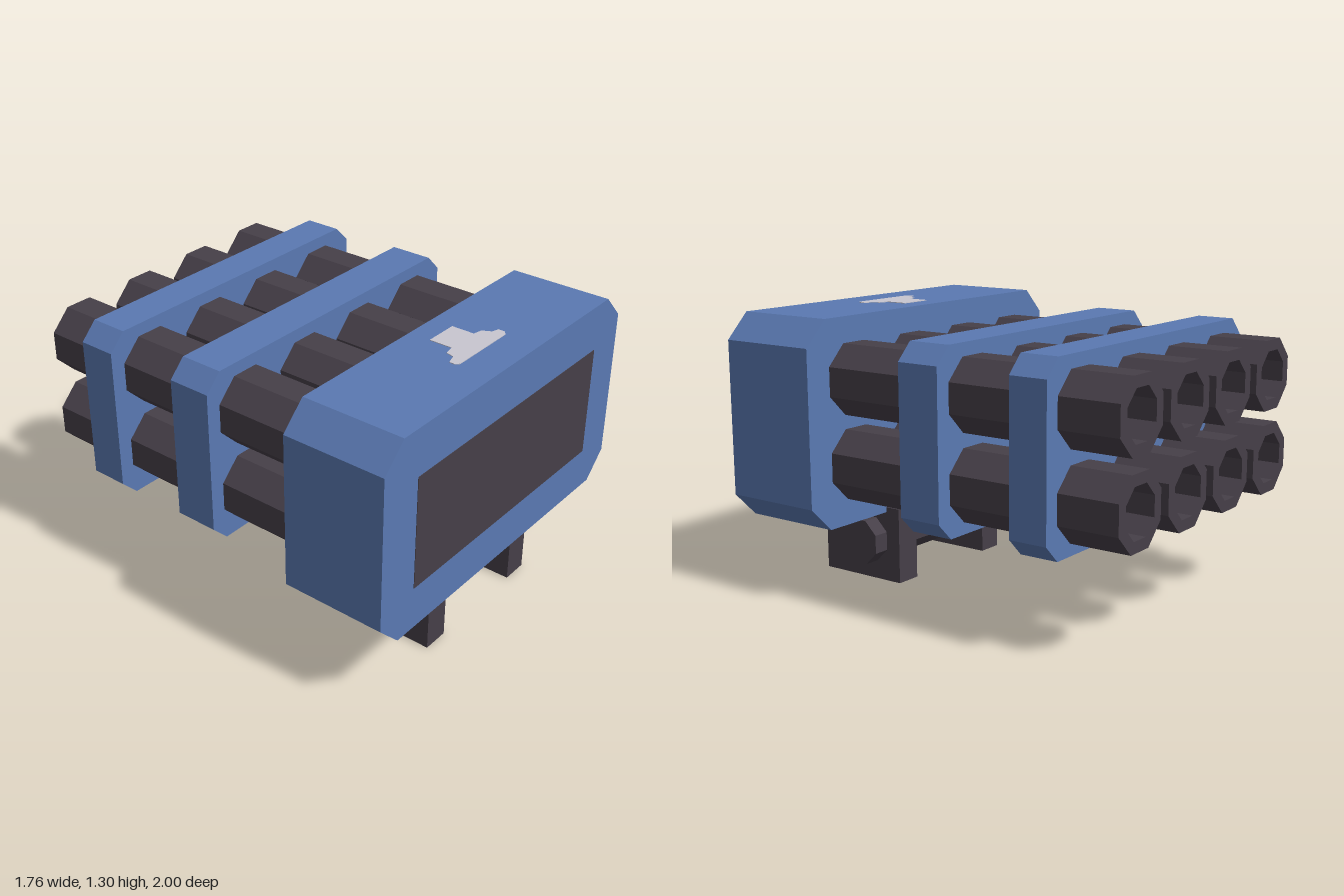
import * as THREE from 'three';

const mat = (name, color) => Object.assign(new THREE.MeshStandardMaterial({ color }), { name });

// Flat-sided octagon outline from its half width
function octagon(apothem, PathType = THREE.Shape) {
  const r = apothem / Math.cos(Math.PI / 8);
  const pts = [];
  for (let i = 0; i < 8; i++) {
    const a = Math.PI / 8 + i * Math.PI / 4;
    pts.push(new THREE.Vector2(r * Math.cos(a), r * Math.sin(a)));
  }
  return new PathType(pts);
}

// Rectangle with cut corners, centred on x
function cutRect(hx, y0, y1, cut) {
  return new THREE.Shape([
    [-hx + cut, y0], [hx - cut, y0], [hx, y0 + cut], [hx, y1 - cut],
    [hx - cut, y1], [-hx + cut, y1], [-hx, y1 - cut], [-hx, y0 + cut],
  ].map(([x, y]) => new THREE.Vector2(x, y)));
}

// Extrude a front outline between two depths
function slab(shape, z0, z1) {
  return new THREE.ExtrudeGeometry(shape, { depth: z1 - z0, bevelEnabled: false }).translate(0, 0, z0);
}

export function createModel() {
  const blue = mat('blue paint', 0x5a79b2);
  const dark = mat('dark metal', 0x463f48);
  const grey = mat('pale grey', 0xc8c6d0);

  const group = new THREE.Group();
  group.name = 'tubeLauncher';
  const add = (name, geometry, material, x = 0, y = 0, z = 0) => {
    const mesh = new THREE.Mesh(geometry, material);
    mesh.name = name;
    mesh.position.set(x, y, z);
    group.add(mesh);
    return mesh;
  };

  // Front housing with its dark face panel
  add('frontHousing', slab(cutRect(0.882, 0.34, 1.3, 0.118), 0.507, 0.998), blue);
  add('frontPanel', new THREE.BoxGeometry(1.345, 0.535, 0.004), dark, 0.008, 0.812, 0.998);

  // Stepped pale marking on top of the housing
  const marking = new THREE.Shape([
    [-0.065, -0.615], [-0.065, -0.725], [-0.115, -0.735], [-0.125, -0.775], [-0.175, -0.79],
    [-0.175, -0.815], [-0.16, -0.832], [0.18, -0.832], [0.2, -0.815], [0.2, -0.785],
    [0.165, -0.775], [0.145, -0.735], [0.1, -0.725], [0.1, -0.615],
  ].map(([x, y]) => new THREE.Vector2(x, y)));
  add('topMarking', slab(marking, 0, 0.003).rotateX(-Math.PI / 2), grey, 0, 1.3, 0);

  // Bands holding the tubes together
  add('frontBand', slab(cutRect(0.82, 0.407, 1.24, 0.08), -0.168, 0.04), blue);
  add('rearBand', slab(cutRect(0.82, 0.407, 1.24, 0.08), -0.713, -0.532), blue);

  // Two rows of four hollow tubes, open at the back
  const tubeShape = octagon(0.163);
  tubeShape.holes.push(octagon(0.112, THREE.Path));
  const tubeGeometry = slab(tubeShape, -1, 0.52);
  const plugGeometry = slab(octagon(0.115), 0.45, 0.5);
  for (const y of [0.625, 1.017]) {
    for (let i = 0; i < 4; i++) {
      const x = (i - 1.5) * 0.389 - 0.002;
      add('tube', tubeGeometry, dark, x, y);
      add('tubePlug', plugGeometry, dark, x, y);
    }
  }

  // Mounting lugs and the pin through them
  for (const x of [-0.327, 0.323]) {
    add('mountingLug', new THREE.BoxGeometry(0.128, 0.364, 0.465), dark, x, 0.182, 0.663);
  }
  add('mountingPin', slab(octagon(0.107), -0.467, 0.467).rotateY(Math.PI / 2), dark, 0, 0.197, 0.615);

  return group;
}
